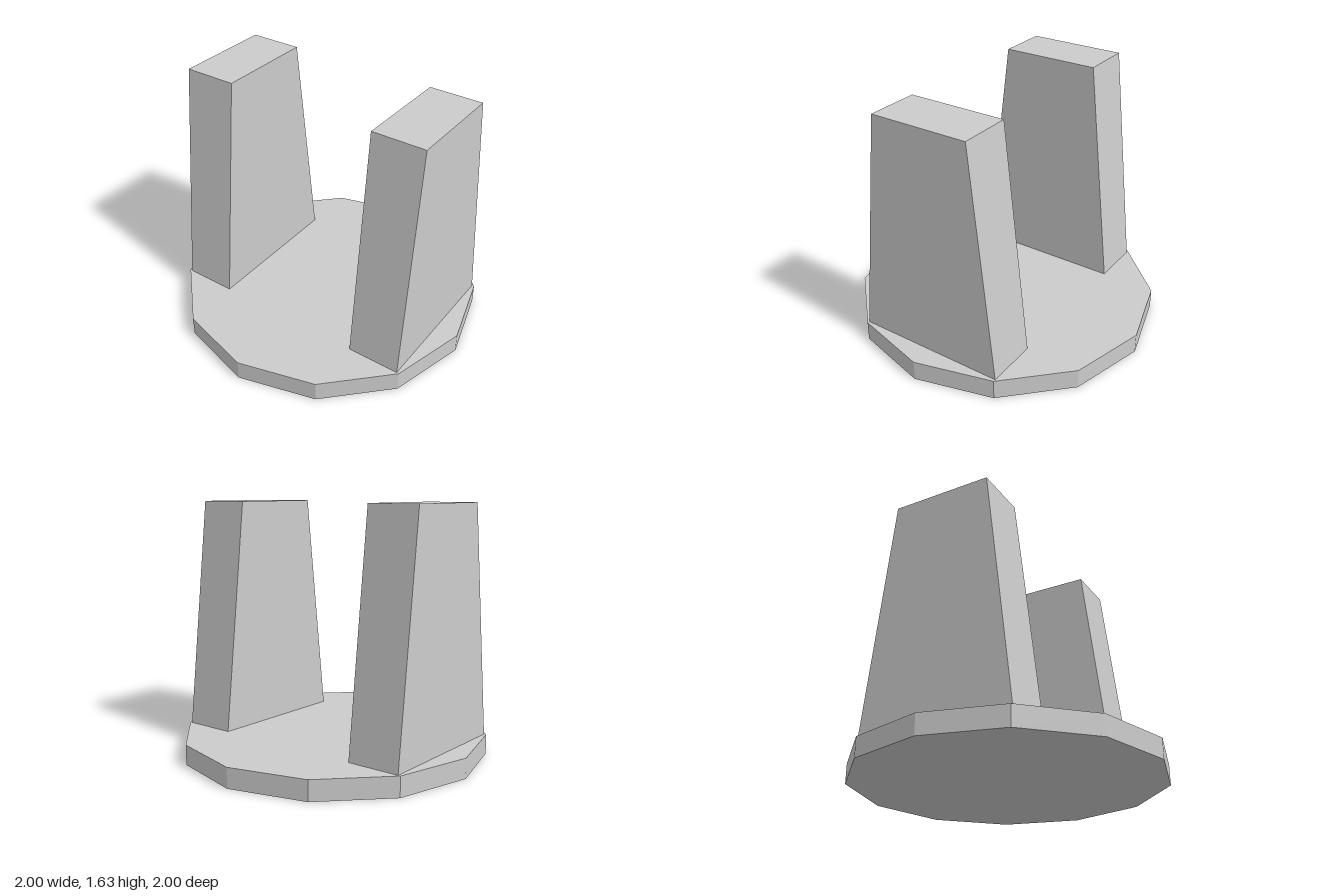
import * as THREE from 'three';

const BASE_HEIGHT = 0.13;
const POST_HEIGHT = 1.5;

// Box whose top edge narrows along z
function taperedPost(width, height, bottomDepth, topDepth) {
  const geometry = new THREE.BoxGeometry(width, height, bottomDepth);
  const position = geometry.attributes.position;
  for (let i = 0; i < position.count; i++) {
    if (position.getY(i) > 0) position.setZ(i, position.getZ(i) * topDepth / bottomDepth);
  }
  geometry.computeVertexNormals();
  return geometry;
}

export function createModel() {
  const model = new THREE.Group();
  model.name = 'bracketStand';
  const material = new THREE.MeshStandardMaterial({ color: 0xcccccc, flatShading: true });

  // Twelve-sided base plate
  const base = new THREE.Mesh(new THREE.CylinderGeometry(1, 1, BASE_HEIGHT, 12), material);
  base.name = 'base';
  base.position.y = BASE_HEIGHT / 2;
  model.add(base);

  // Pair of tapered uprights
  const postGeometry = taperedPost(0.35, POST_HEIGHT, 1, 0.65);
  for (const [name, side] of [['leftUpright', 1], ['rightUpright', -1]]) {
    const post = new THREE.Mesh(postGeometry, material);
    post.name = name;
    post.position.set(side * 0.675, BASE_HEIGHT + POST_HEIGHT / 2, 0);
    model.add(post);
  }

  return model;
}
